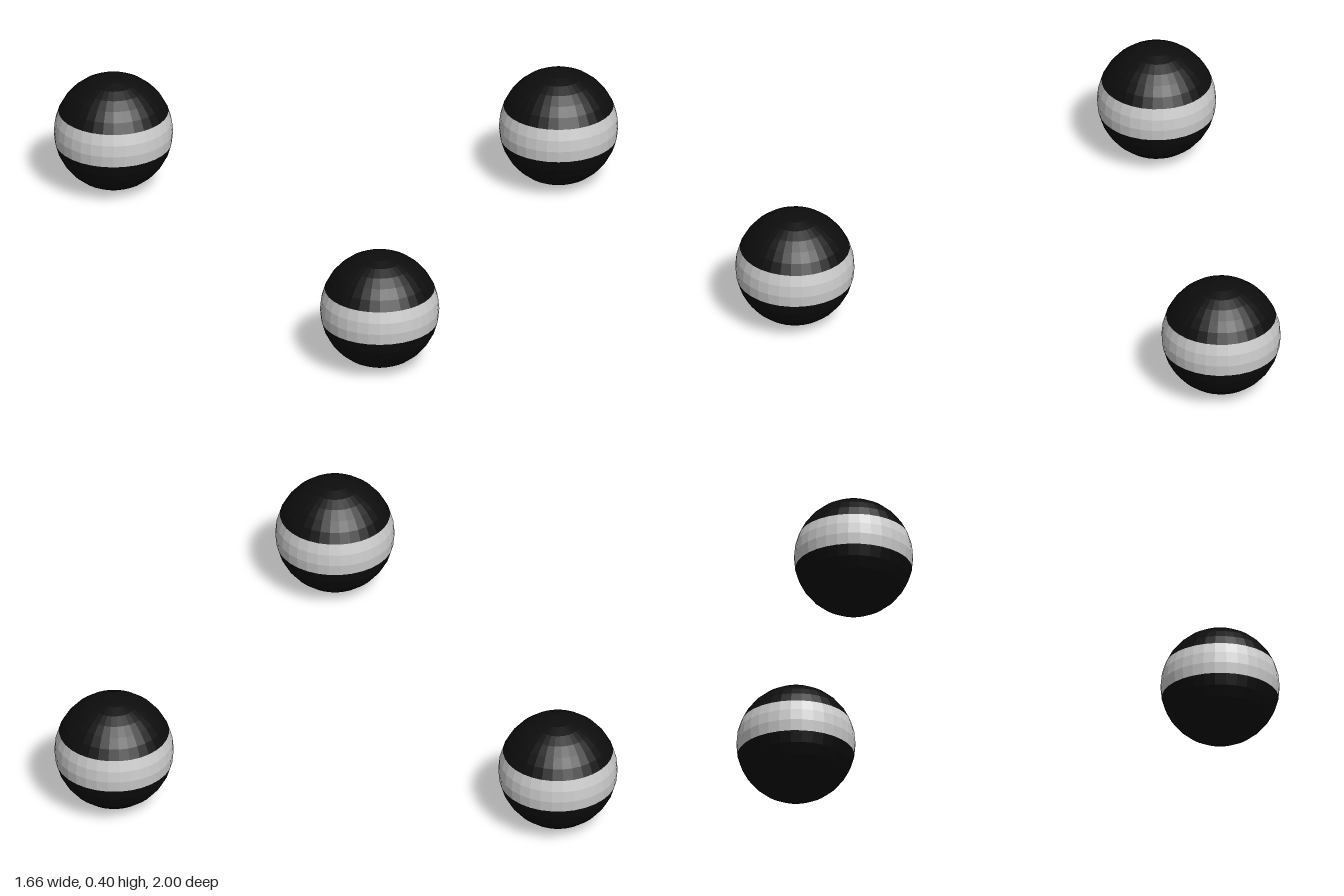
import * as THREE from 'three';

const RADIUS = 0.2;
const SIDES = 32;
const ROWS = 16;

// A slice of the faceted ball between two latitude rows, counted from the top
function ballSlice(name, fromRow, toRow, material) {
  const step = Math.PI / ROWS;
  const geometry = new THREE.SphereGeometry(
    RADIUS, SIDES, toRow - fromRow, 0, Math.PI * 2, fromRow * step, (toRow - fromRow) * step
  );
  const mesh = new THREE.Mesh(geometry, material);
  mesh.name = name;
  return mesh;
}

export function createModel() {
  const model = new THREE.Group();
  model.name = 'bandedBalls';
  const dark = new THREE.MeshStandardMaterial({ color: 0x0d0d0d, flatShading: true });
  const grey = new THREE.MeshStandardMaterial({ color: 0xcccccc, flatShading: true });

  // Three balls set out in a triangle, each with a grey band between dark caps
  const places = [
    ['leftBall', 0.63, 0],
    ['rightFrontBall', -0.63, 0.8],
    ['rightBackBall', -0.63, -0.8],
  ];
  for (const [name, x, z] of places) {
    const ball = new THREE.Group();
    ball.name = name;
    ball.add(
      ballSlice('topCap', 0, 6, dark),
      ballSlice('band', 6, 9, grey),
      ballSlice('bottomCap', 9, ROWS, dark)
    );
    ball.position.set(x, RADIUS, z);
    model.add(ball);
  }
  return model;
}
